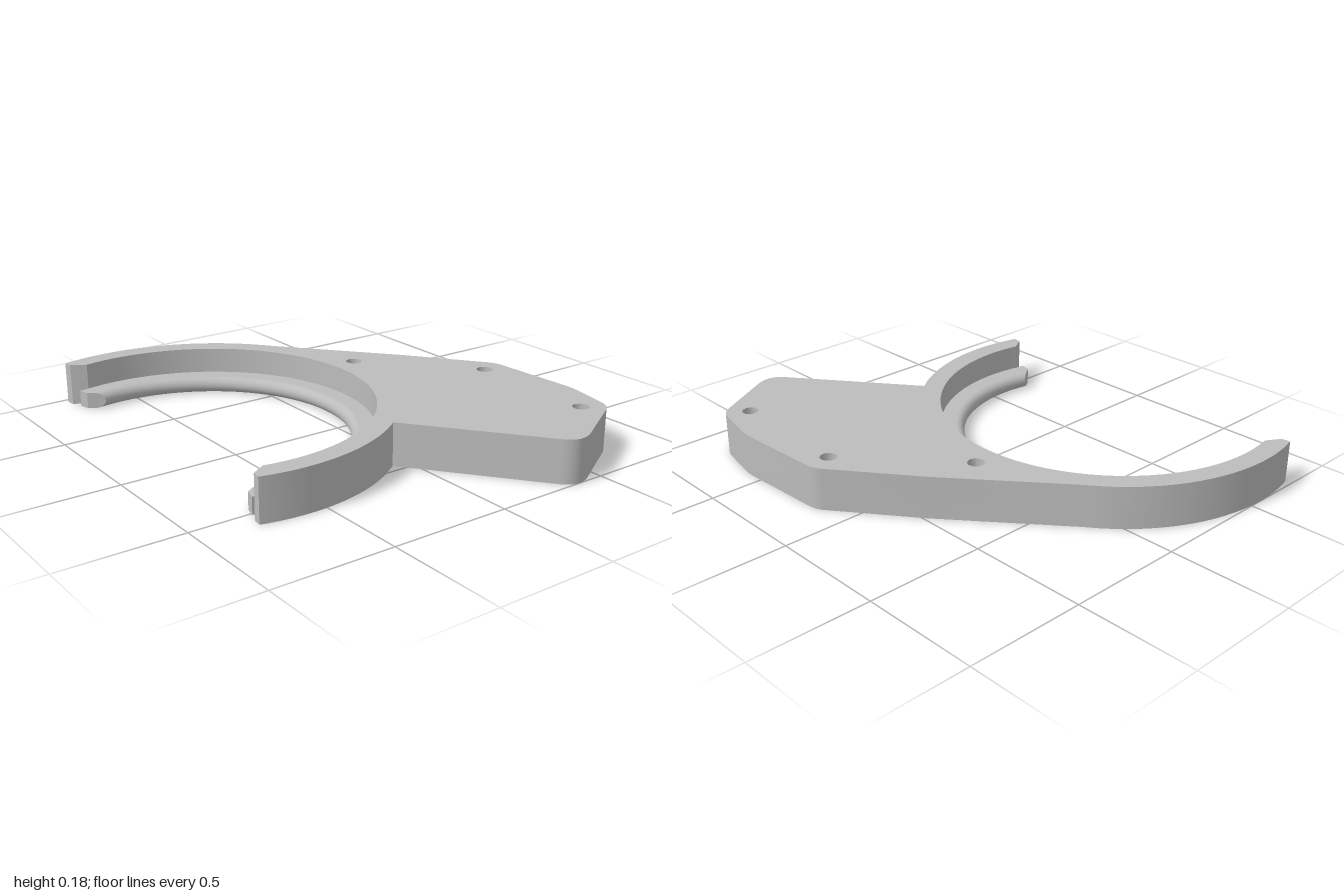
import * as THREE from 'three';
import { toCreasedNormals } from 'three/addons/utils/BufferGeometryUtils.js';
import { ParametricGeometry } from 'three/addons/geometries/ParametricGeometry.js';

const CX = -0.19, CZ = 0.56;            // ring centre
const HEIGHT = 0.18, LIP = 0.07;
const R_OUT = 0.81, R_WALL = 0.722, R_LIP = 0.655, BEAD = LIP / 2;
const HOLES = [[0.185, 0.655], [0.76, 0.635], [-0.245, 0.27]];

// Shapes are drawn in plan as (x, -z), then extruded upwards.
function slab(shape, y0, y1) {
  const g = new THREE.ExtrudeGeometry(shape, { depth: y1 - y0, bevelEnabled: false, curveSegments: 56 });
  g.rotateX(-Math.PI / 2).translate(0, y0, 0);
  return toCreasedNormals(g, 0.35);
}

function hexPoints(x, y, r) {
  return Array.from({ length: 6 }, (_, i) =>
    new THREE.Vector2(x + r * Math.cos(i * Math.PI / 3), y + r * Math.sin(i * Math.PI / 3)));
}

// Full-height plate with the ring arms
function bodyShape() {
  const s = new THREE.Shape();
  const tip = 0.263;
  s.absarc(CX, -CZ, R_OUT, Math.PI + tip, 2.19, true);
  s.lineTo(-0.2, 0.49);
  s.lineTo(0.12, 0.735);
  s.quadraticCurveTo(0.147, 0.757, 0.19, 0.759);
  s.lineTo(0.53, 0.776);
  s.quadraticCurveTo(0.58, 0.78, 0.62, 0.77);
  s.lineTo(0.78, 0.738);
  s.quadraticCurveTo(0.82, 0.728, 0.845, 0.685);
  s.lineTo(0.98, 0.45);
  s.quadraticCurveTo(1.028, 0.365, 0.96, 0.315);
  s.lineTo(0.46, -0.07);
  s.absarc(CX, -CZ, R_OUT, 0.646, -tip, true);
  s.lineTo(CX + 0.745, -CZ - 0.205);
  s.absarc(CX, -CZ, R_WALL, -0.2, Math.PI + 0.2, false);
  s.lineTo(CX - 0.745, -CZ - 0.205);
  for (const [x, y] of HOLES) s.holes.push(new THREE.Path(hexPoints(x, y, 0.045)));
  return s;
}

// Low inner shelf with pointed ends
function lipShape() {
  const s = new THREE.Shape();
  s.absarc(CX, -CZ, R_WALL, Math.PI + 0.2, -0.2, true);
  s.lineTo(CX + 0.70, -CZ - 0.187);
  s.lineTo(CX + 0.655, -CZ - 0.175);
  s.absarc(CX, -CZ, R_LIP, -0.23, Math.PI + 0.23, false);
  s.lineTo(CX - 0.655, -CZ - 0.175);
  s.lineTo(CX - 0.70, -CZ - 0.187);
  return s;
}

// Point on the rounded inner edge; the end angle shortens inwards for a slanted cut
function beadPoint(u, phi, scale, target) {
  const inset = BEAD * Math.cos(phi) * scale;
  const end = 0.23 - 0.052 * inset / BEAD;
  const a = -end + u * (Math.PI + 2 * end);
  const r = R_LIP - inset;
  target.set(CX + r * Math.cos(a), BEAD + BEAD * Math.sin(phi), CZ - r * Math.sin(a));
}

export function createModel() {
  const model = new THREE.Group();
  const grey = new THREE.MeshStandardMaterial({ color: 0xbcbcbc, side: THREE.DoubleSide });
  grey.name = 'plain grey';
  const add = (name, geometry) => {
    const m = new THREE.Mesh(geometry, grey);
    m.name = name;
    model.add(m);
  };

  add('mountingPlate', slab(bodyShape(), 0, HEIGHT));
  add('innerLip', slab(lipShape(), 0, LIP));

  // Rounded edge of the lip and its two end caps
  const phi = (v) => (v - 0.5) * Math.PI;
  add('lipRoundedEdge', new ParametricGeometry((u, v, t) => beadPoint(1 - u, phi(v), 1, t), 96, 16));
  add('lipRightEnd', new ParametricGeometry((u, v, t) => beadPoint(1, phi(v), u, t), 1, 16));
  add('lipLeftEnd', new ParametricGeometry((u, v, t) => beadPoint(0, phi(v), 1 - u, t), 1, 16));

  // Screw holes: round above, six-sided nut pockets below
  for (const [x, y] of HOLES) {
    const s = new THREE.Shape(hexPoints(x, y, 0.045));
    s.holes.push(new THREE.Path().absarc(x, y, 0.034, 0, Math.PI * 2, true));
    add('screwHole', slab(s, 0.07, HEIGHT));
  }
  return model;
}
